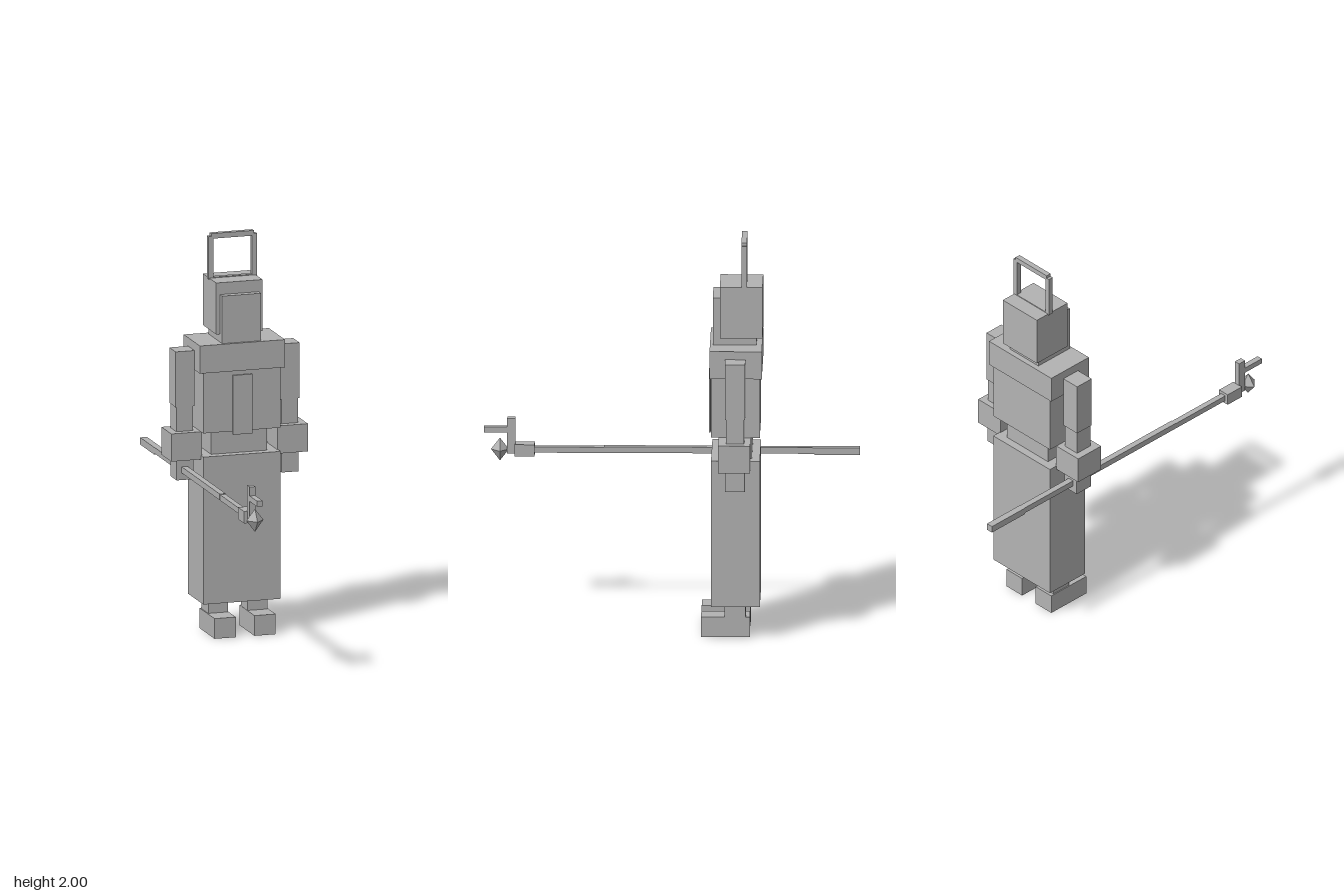
import * as THREE from 'three';

export function createModel() {
  const model = new THREE.Group();
  model.name = 'robedFigure';
  const grey = new THREE.MeshStandardMaterial({ color: 0xb3b3b3 });
  grey.name = 'plain grey';

  // Box given by its extents on each axis
  function box(name, [x0, x1], [y0, y1], [z0, z1], parent = model) {
    const mesh = new THREE.Mesh(new THREE.BoxGeometry(x1 - x0, y1 - y0, z1 - z0), grey);
    mesh.position.set((x0 + x1) / 2, (y0 + y1) / 2, (z0 + z1) / 2);
    mesh.name = name;
    parent.add(mesh);
    return mesh;
  }

  // Robe and torso
  box('skirt', [-0.2, 0.2], [0.165, 0.91], [-0.44, -0.2]);
  box('waist', [-0.145, 0.145], [0.91, 1.03], [-0.4, -0.245]);
  box('torso', [-0.2, 0.2], [1.03, 1.335], [-0.44, -0.2]);
  box('shoulderCape', [-0.22, 0.22], [1.335, 1.475], [-0.45, -0.193]);
  box('chestSash', [-0.05, 0.05], [1.015, 1.315], [-0.196, -0.187]);

  // Head and hood
  box('head', [-0.1, 0.1], [1.475, 1.715], [-0.422, -0.207]);
  box('hood', [-0.12, 0.12], [1.515, 1.775], [-0.452, -0.242]);

  // Square halo
  const halo = new THREE.Group();
  halo.name = 'halo';
  model.add(halo);
  box('haloTop', [-0.11, 0.11], [1.974, 2], [-0.375, -0.348], halo);
  box('haloBottom', [-0.11, 0.11], [1.755, 1.779], [-0.375, -0.348], halo);

  // Paired parts
  for (const [side, s] of [['left', 1], ['right', -1]]) {
    const span = (a, b) => (s > 0 ? [a, b] : [-b, -a]);
    box(side + 'HaloPost', span(0.1, 0.125), [1.77, 1.985], [-0.375, -0.348], halo);
    box(side + 'UpperArm', span(0.223, 0.32), [1.155, 1.435], [-0.37, -0.27]);
    box(side + 'Forearm', span(0.228, 0.315), [1.02, 1.155], [-0.365, -0.275]);
    box(side + 'Cuff', span(0.195, 0.353), [0.89, 1.03], [-0.395, -0.238]);
    box(side + 'Hand', span(0.228, 0.315), [0.785, 0.89], [-0.368, -0.27]);
    box(side + 'Leg', span(0.05, 0.153), [0.1, 0.165], [-0.37, -0.265]);
    box(side + 'Shoe', span(0.048, 0.158), [0, 0.102], [-0.39, -0.15]);
  }

  // Lantern staff held level in the right hand
  const staff = new THREE.Group();
  staff.name = 'staff';
  model.add(staff);
  box('staffRear', [-0.291, -0.256], [0.816, 0.852], [-0.925, -0.7], staff);
  box('staffMiddle', [-0.289, -0.258], [0.821, 0.852], [-0.7, 0.335], staff);
  box('staffFront', [-0.288, -0.259], [0.82, 0.849], [0.335, 0.68], staff);
  box('staffSocket', [-0.305, -0.245], [0.804, 0.864], [0.675, 0.773], staff);
  box('staffPost', [-0.288, -0.259], [0.815, 0.995], [0.77, 0.81], staff);
  box('staffArm', [-0.288, -0.259], [0.922, 0.95], [0.81, 0.925], staff);

  // Eight-sided crystal at the tip
  const crystal = new THREE.Mesh(new THREE.OctahedronGeometry(1), grey);
  crystal.name = 'crystal';
  crystal.scale.set(0.044, 0.058, 0.044);
  crystal.position.set(-0.273, 0.834, 0.846);
  staff.add(crystal);

  return model;
}
